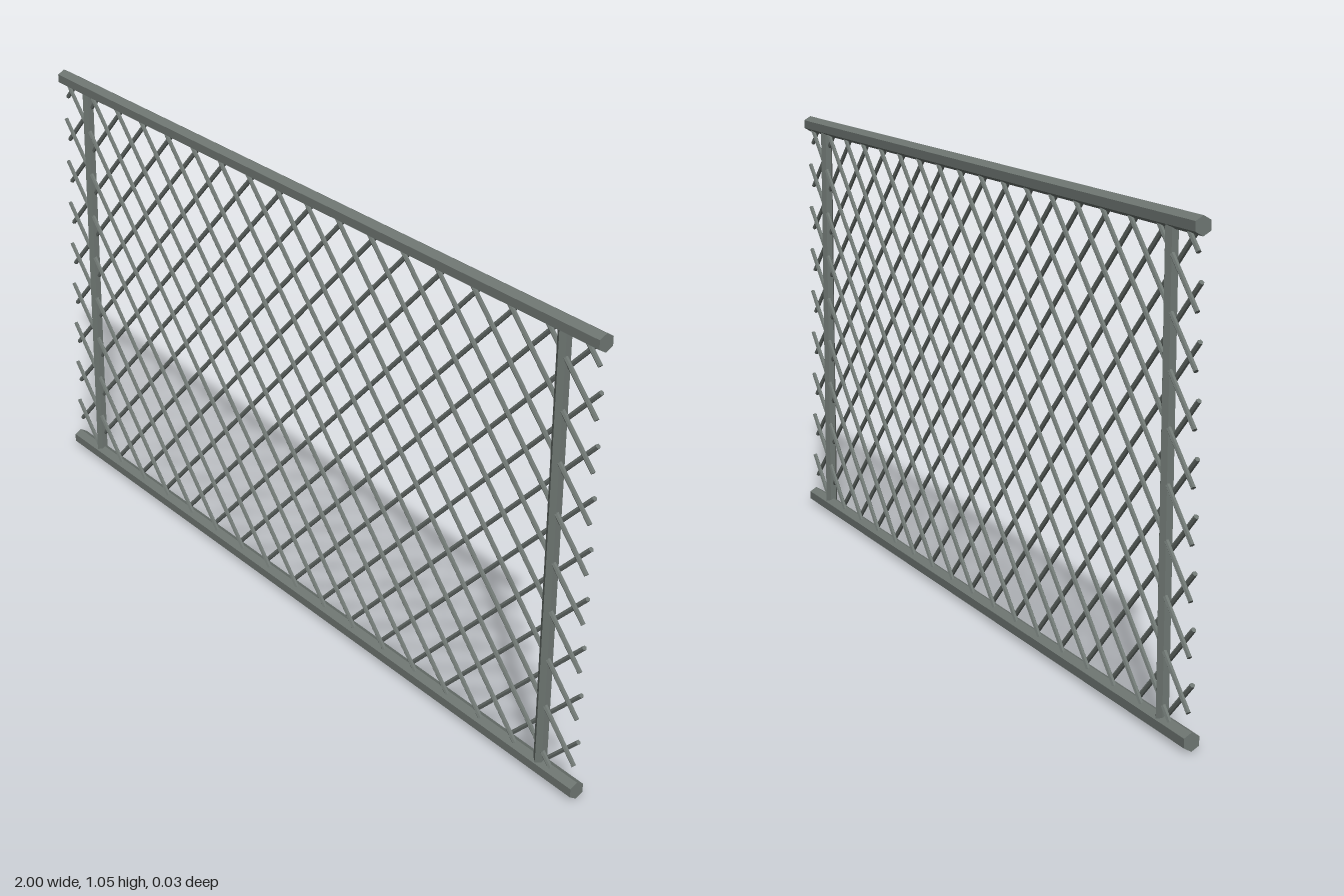
import * as THREE from 'three';

const steel = new THREE.MeshStandardMaterial({ color: 0x6f7773, flatShading: true });
steel.name = 'grey steel';

// Hexagonal bar between two points; turn spins the section about its axis
function bar(name, a, b, radius, turn = 0) {
  const geometry = new THREE.CylinderGeometry(radius, radius, a.distanceTo(b), 6);
  geometry.rotateY(turn);
  const mesh = new THREE.Mesh(geometry, steel);
  mesh.name = name;
  mesh.position.copy(a).add(b).multiplyScalar(0.5);
  const direction = b.clone().sub(a).normalize();
  mesh.quaternion.setFromUnitVectors(new THREE.Vector3(0, 1, 0), direction);
  return mesh;
}

const point = (x, y, z = 0) => new THREE.Vector3(x, y, z);

export function createModel() {
  const fence = new THREE.Group();
  fence.name = 'meshFencePanel';

  // Rails with a ridge along the top and bottom
  for (const [name, y] of [['bottomRail', 0.02], ['topRail', 1.035]]) {
    fence.add(bar(name, point(-1, y), point(1, y), 0.02, Math.PI / 2));
  }

  // Upright posts
  for (const [name, x] of [['leftPost', 0.886], ['rightPost', -0.886]]) {
    fence.add(bar(name, point(x, 0.02), point(x, 1.035), 0.015));
  }

  // Diagonal wires in two layers, clipped to the panel
  const half = 0.0567;
  const endX = 0.992, lowY = 0.03, highY = 1.027;
  for (const side of [1, -1]) {
    const layer = new THREE.Group();
    layer.name = side === 1 ? 'risingWires' : 'fallingWires';
    const z = -0.004 * side;
    for (let k = -18; k <= 18; k++) {
      // Wire along y = x + rise, mirrored for the other layer
      const rise = 1.013 - 17 * half + 2 * half * k;
      const x0 = Math.max(-endX, lowY - rise);
      const x1 = Math.min(endX, highY - rise);
      if (x1 - x0 < 0.02) continue;
      layer.add(bar('wire', point(side * x0, x0 + rise, z), point(side * x1, x1 + rise, z), 0.0055));
    }
    fence.add(layer);
  }
  return fence;
}
